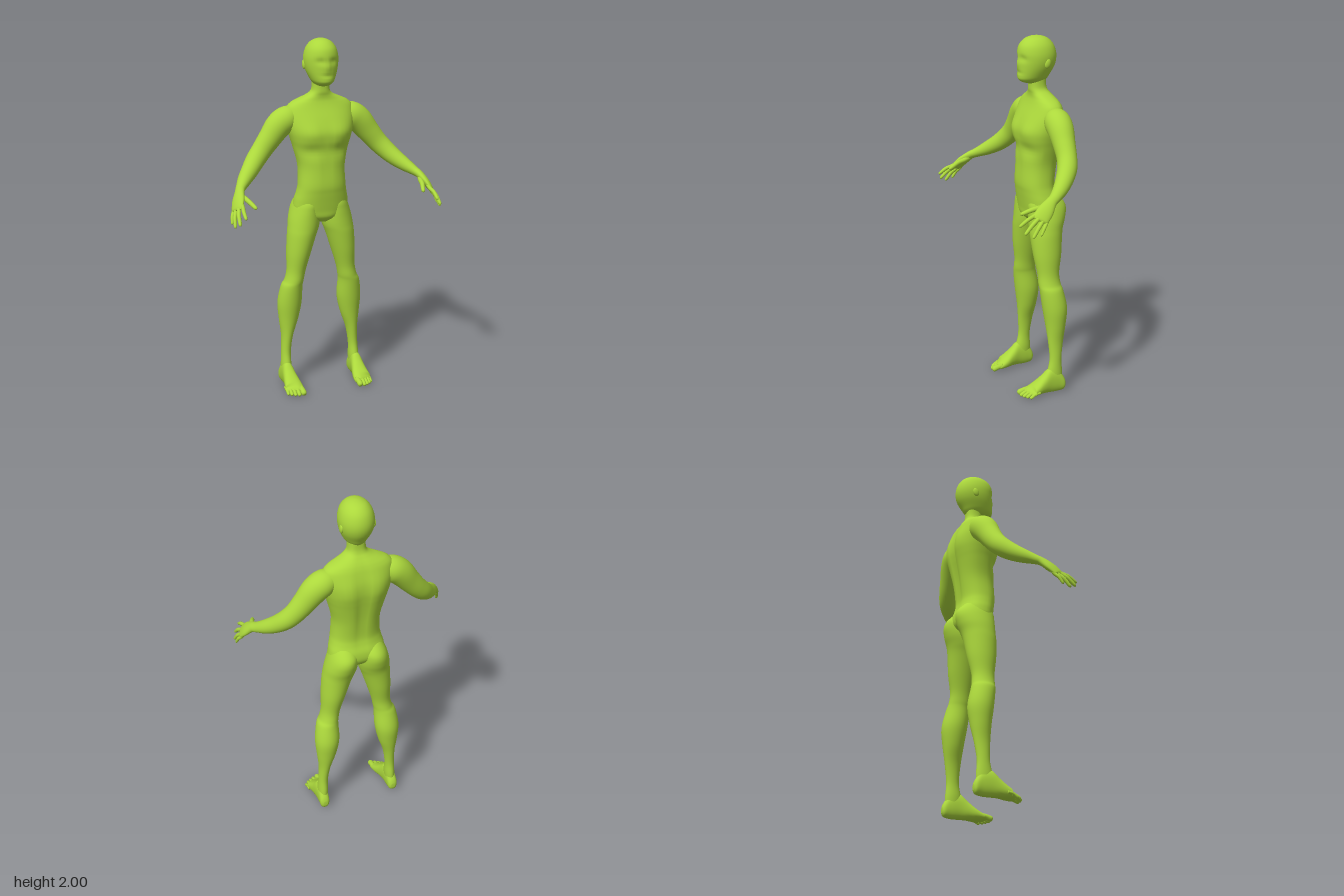
import * as THREE from 'three';

const V = (x, y, z) => new THREE.Vector3(x, y, z);
const bell = (d, w) => Math.exp(-(d * d) / (w * w));
const SEG = 36;

// Catmull-Rom interpolation of every column of a section table
function smooth(rows, steps = 5) {
  const out = [], n = rows.length;
  const row = (i) => rows[Math.min(n - 1, Math.max(0, i))];
  for (let i = 0; i < n - 1; i++) {
    for (let k = 0; k < steps; k++) {
      const t = k / steps, a = row(i - 1), b = row(i), c = row(i + 1), d = row(i + 2);
      out.push(b.map((v, j) => 0.5 * (2 * v + (c[j] - a[j]) * t
        + (2 * a[j] - 5 * v + 4 * c[j] - d[j]) * t * t
        + (3 * v - a[j] - 3 * c[j] + d[j]) * t * t * t)));
    }
  }
  out.push(rows[n - 1]);
  return out;
}

// Closed skin over rings of points, turned so that it always faces outward
function skin(rings) {
  const n = rings[0].length, pts = rings.flat(), idx = [];
  const mid = (ring) => ring.reduce((s, p) => s.add(p), V(0, 0, 0)).divideScalar(n);
  const first = pts.length, last = first + 1, end = (rings.length - 1) * n;
  pts.push(mid(rings[0]), mid(rings[rings.length - 1]));
  for (let j = 0; j < n; j++) {
    const k = (j + 1) % n;
    idx.push(first, k, j, last, end + j, end + k);
    for (let r = 0; r < end; r += n) idx.push(r + j, r + k, r + n + j, r + k, r + n + k, r + n + j);
  }
  let volume = 0;
  for (let i = 0; i < idx.length; i += 3) {
    volume += pts[idx[i]].dot(V(0, 0, 0).crossVectors(pts[idx[i + 1]], pts[idx[i + 2]]));
  }
  if (volume < 0) idx.reverse();
  const g = new THREE.BufferGeometry().setFromPoints(pts);
  g.setIndex(idx);
  g.computeVertexNormals();
  return g;
}

// Loft along an axis; rows are [position, min u, max u, min v, max v]
function loft(rows, place, power = 2) {
  return skin(smooth(rows).map(([t, u0, u1, v0, v1]) => Array.from({ length: SEG }, (_, i) => {
    const a = (i / SEG) * Math.PI * 2;
    const f = (c) => Math.sign(c) * Math.abs(c) ** (2 / power);
    return place(t, (u0 + u1) / 2 + f(Math.cos(a)) * (u1 - u0) / 2,
      (v0 + v1) / 2 + f(Math.sin(a)) * (v1 - v0) / 2);
  })));
}

// Limb along a bent path; rows are [x, y, z, wide radius, thin radius]
function limb(rows, side, wide = V(0.45, -0.35, -0.85), seg = 24) {
  const path = smooth(rows);
  const at = (i) => V(...path[Math.min(path.length - 1, Math.max(0, i))].slice(0, 3));
  return skin(path.map((r, i) => {
    const tangent = at(i + 1).sub(at(i - 1)).normalize();
    const u = wide.clone().addScaledVector(tangent, -wide.dot(tangent)).normalize();
    const v = V(0, 0, 0).crossVectors(tangent, u);
    return Array.from({ length: seg }, (_, k) => {
      const a = (k / seg) * Math.PI * 2;
      const p = at(i).addScaledVector(u, Math.cos(a) * Math.max(0.001, r[3]))
        .addScaledVector(v, Math.sin(a) * Math.max(0.001, r[4]));
      p.x *= side;
      return p;
    });
  }));
}

const mirrorRows = (rows) => rows.map(([y, w, z0, z1]) => [y, -w, w, z0, z1]);

export function createModel() {
  const model = new THREE.Group();
  const green = new THREE.MeshStandardMaterial({ color: 0xacd83c });
  green.name = 'leafGreen';
  const add = (name, geometry, parent = model) => {
    const m = new THREE.Mesh(geometry, green);
    m.name = name;
    parent.add(m);
    return m;
  };

  // Torso and neck: [height, half width, back, front]
  const torso = mirrorRows([
    [1.80, 0.050, -0.165, -0.070], [1.74, 0.048, -0.165, -0.072], [1.71, 0.055, -0.172, -0.072],
    [1.69, 0.080, -0.185, -0.075], [1.67, 0.125, -0.200, -0.075], [1.65, 0.165, -0.212, -0.070],
    [1.62, 0.190, -0.224, -0.058], [1.56, 0.195, -0.240, -0.030], [1.50, 0.185, -0.245, -0.009],
    [1.45, 0.171, -0.241, -0.006], [1.40, 0.156, -0.233, -0.008], [1.30, 0.133, -0.215, -0.010],
    [1.20, 0.135, -0.202, -0.006], [1.15, 0.143, -0.207, -0.012], [1.10, 0.155, -0.222, -0.020],
    [1.05, 0.155, -0.220, -0.028], [1.01, 0.105, -0.190, -0.034], [0.98, 0.030, -0.140, -0.060],
  ]);
  add('torso', loft(torso, (y, x, z) => {
    const ax = Math.abs(x);
    if (z > -0.09) {
      // chest muscles, the crease under them and the midline
      z += 0.011 * bell(ax - 0.085, 0.06) * bell(y - 1.49, 0.055);
      z -= 0.012 * bell(ax - 0.08, 0.07) * bell(y - 1.39, 0.035);
      z -= 0.005 * bell(x, 0.015) * bell(y - 1.36, 0.16);
    } else if (z < -0.16) {
      // spine groove and shoulder blades
      z += 0.018 * bell(x, 0.026) * bell(y - 1.38, 0.24);
      z -= 0.010 * bell(ax - 0.085, 0.05) * bell(y - 1.52, 0.08);
    }
    return V(x, y, z);
  }, 2.3));

  // Head: [height, half width, back, front]
  const head = mirrorRows([
    [2.000, 0.006, -0.116, -0.104], [1.995, 0.030, -0.147, -0.072], [1.980, 0.057, -0.180, -0.042],
    [1.950, 0.080, -0.207, -0.016], [1.910, 0.092, -0.221, -0.006], [1.870, 0.093, -0.222, -0.006],
    [1.830, 0.085, -0.210, -0.006], [1.790, 0.069, -0.186, -0.005], [1.770, 0.058, -0.174, -0.008],
    [1.755, 0.044, -0.160, -0.025], [1.745, 0.025, -0.135, -0.055],
  ]);
  add('head', loft(head, (y, x, z) => {
    if (z > -0.08) {
      // nose, eye hollows and mouth
      z += 0.009 * bell(x, 0.016) * bell(y - 1.855, 0.028);
      z -= 0.009 * bell(Math.abs(x) - 0.035, 0.022) * bell(y - 1.885, 0.018);
      z -= 0.005 * bell(x, 0.03) * bell(y - 1.808, 0.008);
    }
    return V(x, y, z);
  }, 2.05));

  // Leg: [height, inner, outer, back, front]
  const leg = [
    [1.14, 0.020, 0.130, -0.190, -0.050], [1.09, 0.006, 0.153, -0.238, -0.032],
    [1.05, 0.004, 0.168, -0.250, -0.030], [1.00, 0.004, 0.182, -0.240, -0.030],
    [0.95, 0.014, 0.190, -0.222, -0.030], [0.90, 0.033, 0.196, -0.212, -0.031],
    [0.80, 0.065, 0.202, -0.200, -0.040], [0.70, 0.095, 0.203, -0.182, -0.056],
    [0.64, 0.107, 0.215, -0.185, -0.058], [0.60, 0.112, 0.235, -0.195, -0.062],
    [0.50, 0.112, 0.250, -0.215, -0.075], [0.40, 0.132, 0.243, -0.205, -0.090],
    [0.30, 0.165, 0.232, -0.188, -0.100], [0.20, 0.180, 0.234, -0.175, -0.105],
    [0.12, 0.180, 0.238, -0.180, -0.090], [0.06, 0.185, 0.238, -0.180, -0.090],
  ];
  // Foot, heel to toes: [depth, inner, outer, bottom, top]
  const foot = [
    [-0.197, 0.200, 0.225, 0.030, 0.060], [-0.185, 0.187, 0.240, 0.010, 0.090],
    [-0.150, 0.182, 0.242, 0.003, 0.135], [-0.100, 0.178, 0.245, 0.004, 0.146],
    [-0.060, 0.170, 0.250, 0.006, 0.112], [-0.020, 0.160, 0.257, 0.004, 0.078],
    [0.015, 0.156, 0.262, 0.004, 0.054], [0.035, 0.158, 0.262, 0.006, 0.042],
    [0.047, 0.175, 0.250, 0.012, 0.030],
  ];
  // Toes: [x, tip depth, radius]
  const toes = [[0.173, 0.080, 0.016], [0.199, 0.077, 0.011], [0.219, 0.068, 0.010],
    [0.237, 0.056, 0.010], [0.253, 0.040, 0.009]];

  // Arm and palm: [x, y, z, wide radius, thin radius]
  const arm = [
    [0.120, 1.575, -0.145, 0.045, 0.045], [0.180, 1.566, -0.145, 0.070, 0.070],
    [0.235, 1.530, -0.143, 0.070, 0.073], [0.290, 1.463, -0.137, 0.060, 0.064],
    [0.340, 1.402, -0.128, 0.054, 0.057], [0.383, 1.355, -0.108, 0.053, 0.053],
    [0.425, 1.313, -0.072, 0.048, 0.047], [0.470, 1.276, -0.025, 0.040, 0.038],
    [0.508, 1.247, 0.025, 0.030, 0.026], [0.525, 1.232, 0.055, 0.030, 0.022],
    [0.546, 1.198, 0.096, 0.042, 0.020], [0.561, 1.165, 0.130, 0.042, 0.014],
    [0.566, 1.155, 0.139, 0.034, 0.007],
  ];
  // Fingers: [base, tip, radius]
  const fingers = {
    indexFinger: [[0.540, 1.182, 0.150], [0.550, 1.133, 0.247], 0.0105],
    middleFinger: [[0.557, 1.170, 0.138], [0.577, 1.096, 0.228], 0.0110],
    ringFinger: [[0.568, 1.158, 0.120], [0.593, 1.076, 0.190], 0.0105],
    littleFinger: [[0.573, 1.153, 0.099], [0.597, 1.085, 0.146], 0.0090],
    thumb: [[0.518, 1.215, 0.080], [0.480, 1.174, 0.208], 0.0130],
  };

  for (const [label, s] of [['left', 1], ['right', -1]]) {
    add(label + 'Leg', loft(leg, (y, x, z) => V(s * x, y, z)));

    const footGroup = new THREE.Group();
    footGroup.name = label + 'Foot';
    model.add(footGroup);
    add('footBody', loft(foot, (z, x, y) =>
      V(s * x, y, z - Math.max(0, x - 0.19) * 0.4 * THREE.MathUtils.clamp(z / 0.03, 0, 1)), 2.2), footGroup);
    toes.forEach(([x, z, r], i) => add('toe' + (i + 1), limb([
      [x, 0.030, z - 0.065, r, r], [x, 0.026, z - 0.035, r, r * 0.95],
      [x, r + 0.003, z - 0.012, r, r], [x, r + 0.001, z - 0.003, r * 0.65, r * 0.65],
      [x, r, z, 0.002, 0.002],
    ], s, V(1, 0, 0), 14), footGroup));

    add(label + 'Arm', limb(arm, s, undefined, SEG));
    const hand = new THREE.Group();
    hand.name = label + 'Fingers';
    model.add(hand);
    for (const [name, [base, tip, r]] of Object.entries(fingers)) {
      const row = (t, k, lift = 0) => [...V(...base).lerp(V(...tip), t).add(V(lift * 0.6, lift, 0)).toArray(), r * k, r * k];
      add(name, limb([row(-0.15, 1), row(0.15, 1.05), row(0.5, 1, 0.005), row(0.85, 0.85, 0.001),
        row(0.96, 0.6), row(1, 0.12)], s, undefined, 14), hand);
    }

    const ear = add(label + 'Ear', new THREE.SphereGeometry(1, 16, 12));
    ear.scale.set(0.010, 0.026, 0.018);
    ear.position.set(s * 0.088, 1.858, -0.138);
    ear.rotation.x = -0.25;
  }
  return model;
}
